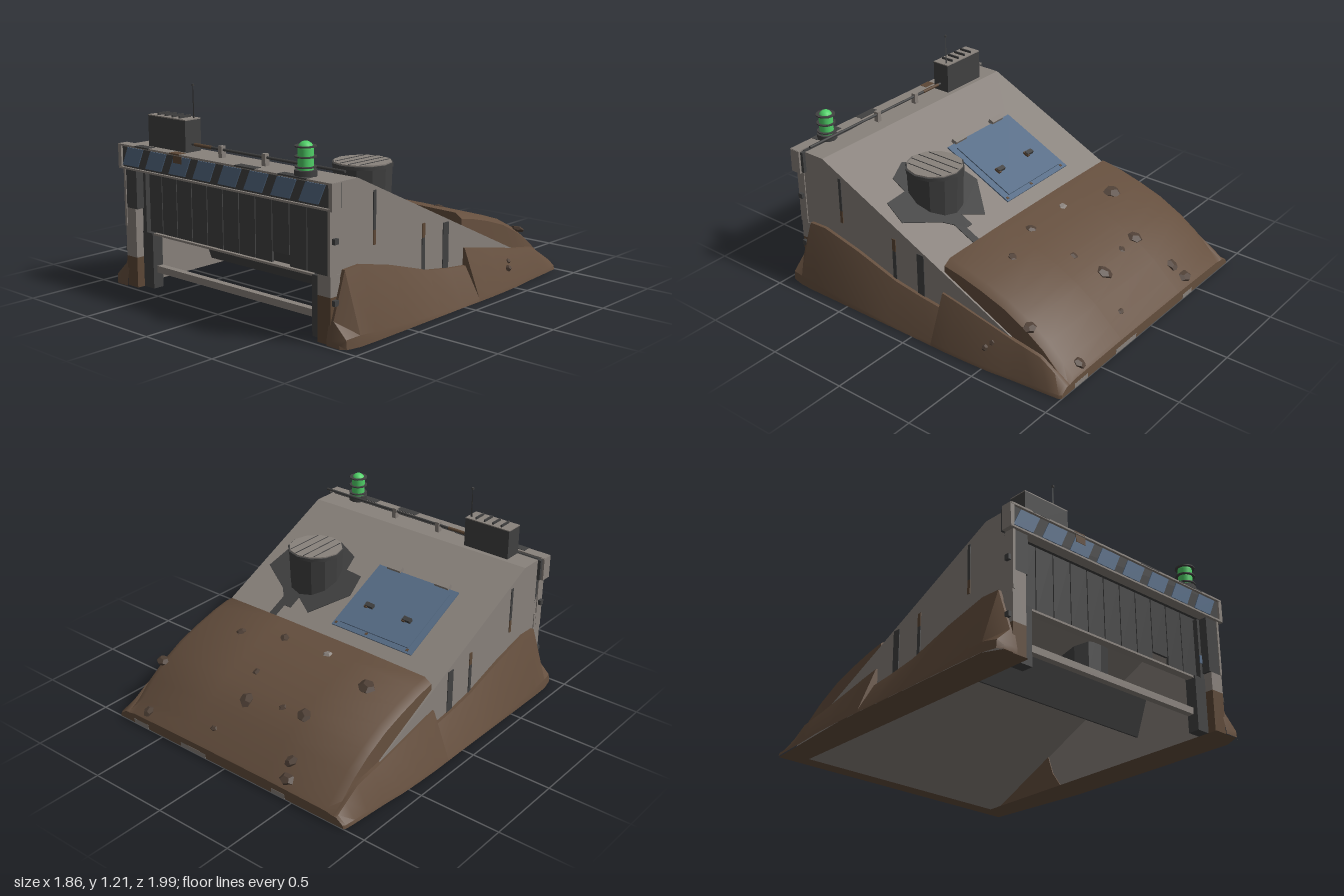
import * as THREE from 'three';
import { toCreasedNormals } from 'three/addons/utils/BufferGeometryUtils.js';

export function createModel() {
  const root = new THREE.Group();
  root.name = 'bunker';
  const material = (name, color) => {
    const m = new THREE.MeshStandardMaterial({ color });
    m.name = name;
    return m;
  };
  const concrete = material('concrete', 0x89827c);
  const dark = material('darkSteel', 0x414141);
  const blue = material('bluePaint', 0x566c86);
  const earth = material('earth', 0x654f3e);
  const rock = material('rock', 0x4f4036);
  const green = material('greenLamp', 0x50d068);
  const rust = material('rust', 0x5d4836);

  const add = (name, geo, mat, x = 0, y = 0, z = 0, parent = root) => {
    const m = new THREE.Mesh(geo, mat);
    m.name = name;
    m.position.set(x, y, z);
    parent.add(m);
    return m;
  };
  // Box given by its limits
  const block = (name, mat, x0, x1, y0, y1, z0, z1, parent = root) =>
    add(name, new THREE.BoxGeometry(x1 - x0, y1 - y0, z1 - z0), mat,
      (x0 + x1) / 2, (y0 + y1) / 2, (z0 + z1) / 2, parent);
  const cyl = (name, mat, r, h, x, y, z, sides = 16) =>
    add(name, new THREE.CylinderGeometry(r, r, h, sides), mat, x, y, z);
  const outline = pts => new THREE.Shape(pts.map(p => new THREE.Vector2(p[0], p[1])));
  // Side profile of [z, y] points pushed along x
  const profile = (name, mat, pts, x0, x1) => {
    const geo = new THREE.ExtrudeGeometry(outline(pts.map(([z, y]) => [-z, y])),
      { depth: x1 - x0, bevelEnabled: false });
    geo.rotateY(Math.PI / 2);
    return add(name, geo, mat, x0);
  };
  // Skin over cross-sections of [x, y, z] points, running from +x to -x and front to back
  const loft = (name, mat, rows) => {
    const n = rows[0].length, index = [];
    for (let i = 0; i < rows.length - 1; i++)
      for (let j = 0; j < n - 1; j++) {
        const a = i * n + j, c = a + n;
        index.push(a, c, a + 1, a + 1, c, c + 1);
      }
    const geo = new THREE.BufferGeometry();
    geo.setAttribute('position', new THREE.Float32BufferAttribute(rows.flat(2), 3));
    geo.setIndex(index);
    return add(name, toCreasedNormals(geo, 0.6), mat);
  };

  // Hollow wedge: sloping roof and side walls
  const K = 0.4645;
  profile('roofSlab', concrete, [[0.92, 0.835], [0.76, 0.835], [-0.96, 0.036], [-0.96, 0],
    [-0.93, 0], [0.76, 0.79], [0.92, 0.79]], -0.8, 0.8);
  const wall = [[0.92, 0.834], [0.76, 0.834], [-0.96, 0.035], [-0.96, 0], [0.92, 0]];
  profile('leftWall', concrete, wall, 0.77, 0.8);
  profile('rightWall', concrete, wall, -0.8, -0.77);
  block('roofSeam', dark, -0.79, 0.79, 0.834, 0.838, 0.908, 0.926);

  // Worn strips outside and earth stains inside the walls
  for (const s of [1, -1]) {
    const strip = (mat, z0, z1, y0, y1) =>
      block('wallStrip', mat, s * 0.801 - 0.003, s * 0.801 + 0.003, y0, y1, z0, z1);
    strip(dark, 0.62, 0.64, 0.54, 0.75);
    strip(rust, 0.62, 0.64, 0.46, 0.54);
    strip(dark, 0.21, 0.235, 0.2, 0.42);
    strip(rust, 0.21, 0.235, 0.42, 0.5);
    strip(dark, 0, 0.05, 0.2, 0.47);
    const x = s > 0 ? 0.764 : -0.77;
    profile('innerEarth', earth, [[-0.42, 0.245], [-0.93, 0.003], [-0.3, 0.003], [-0.38, 0.12]], x, x + 0.006);
  }

  // Rear earth mound: [z, base half-width, side height, top height]
  const mound = [[-0.14, 0.925, 0.19, 0.4], [-0.14, 0.925, 0.29, 0.485], [-0.25, 0.925, 0.27, 0.465],
    [-0.4, 0.92, 0.238, 0.425], [-0.55, 0.912, 0.208, 0.375], [-0.65, 0.9, 0.187, 0.325], [-0.7, 0.895, 0.18, 0.3],
    [-0.82, 0.885, 0.16, 0.22], [-0.92, 0.877, 0.1, 0.13], [-0.985, 0.87, 0.06, 0.075],
    [-1, 0.86, 0.05, 0.06], [-1, 0.86, 0, 0]];
  loft('rearMound', earth, mound.map(([z, w, s, t]) => {
    const half = [[w, 0], [w - 0.005, Math.min(0.02, s)], [0.812, s], [0.792, s + 0.002],
      [0.786, Math.max(s, t - 0.03)], [0.74, t], [0.3, t + 0.006]];
    const mirror = half.map(([x, y]) => [-x, y]).reverse();
    return [...half, ...mirror].map(([x, y]) => [x, t ? y : 0, z]);
  }));
  for (const [x, w] of [[0.62, 0.12], [0.15, 0.2], [-0.45, 0.1]])
    block('rearWear', concrete, x, x + w, 0, 0.028, -1.001, -0.996);

  // Side banks: [z, base half-width, height, lip height]
  const bank = [[0.985, 0.88, 0, 0], [0.985, 0.88, 0.03, 0.02], [0.965, 0.91, 0.13, 0.05],
    [0.88, 0.93, 0.38, 0.06], [0.76, 0.932, 0.385, 0.05], [0.5, 0.93, 0.325, 0.03],
    [0.2, 0.927, 0.235, 0.015], [0, 0.925, 0.205, 0.012], [-0.14, 0.925, 0.19, 0.02]];
  for (const s of [1, -1]) {
    const m = loft(s > 0 ? 'leftBank' : 'rightBank', earth, bank.map(([z, w, h, l]) =>
      [[w, 0, z], [w - 0.005, l, z], [0.82, h, z], [0.79, h, z]]));
    m.scale.x = s;
  }
  // Underside rim of the earth
  const rim = new THREE.ShapeGeometry(outline([[0.88, 0.98], [0.93, 0.88], [0.925, -0.3], [0.86, -1],
    [-0.86, -1], [-0.925, -0.3], [-0.93, 0.88], [-0.88, 0.98], [-0.71, 0.98], [-0.71, -0.91],
    [0.71, -0.91], [0.71, 0.98]]));
  rim.rotateX(Math.PI / 2);
  add('earthRim', rim, earth, 0, -0.001, 0);

  // Stones scattered on the mound: [x, z, size]
  const heightAt = z => {
    for (let i = 1; i < mound.length - 1; i++) {
      const a = mound[i], b = mound[i + 1];
      if (z <= a[0] && z >= b[0]) return a[3] + (b[3] - a[3]) * (a[0] - z) / (a[0] - b[0]);
    }
    return 0;
  };
  [[-0.43, -0.955, 0.052], [-0.4, -0.88, 0.047], [-0.31, -0.67, 0.055], [-0.16, -0.68, 0.03],
    [0.08, -0.72, 0.056], [0.17, -0.9, 0.028], [0.15, -0.56, 0.03], [-0.51, -0.37, 0.063],
    [0.46, -0.36, 0.035], [0.18, -0.28, 0.04], [-0.14, -0.27, 0.035], [0.65, -0.96, 0.042],
    [0.77, -0.72, 0.045]].forEach(([x, z, r], i) => {
    const m = add('stone', new THREE.DodecahedronGeometry(r), i === 10 ? concrete : rock, x, heightAt(z), z);
    m.scale.set(1, 0.4, 0.8);
    m.rotation.set(-0.45, i * 1.3, 0);
  });
  for (const [z, y] of [[-0.49, 0.11], [-0.52, 0.14]])
    add('bankStone', new THREE.DodecahedronGeometry(0.02), rock, 0.87 - (y - 0.11), y, z);

  // Front posts, door guides and side bolts
  for (const s of [1, -1]) {
    const post = new THREE.Group();
    post.name = s > 0 ? 'leftPost' : 'rightPost';
    post.scale.x = s;
    root.add(post);
    const foot = s > 0 ? 0.25 : 0.18;
    block('postFoot', rust, 0.715, 0.805, 0, foot, 0.9, 0.97, post);
    block('postMiddle', concrete, 0.715, 0.805, foot, s > 0 ? 0.36 : 0.47, 0.9, 0.97, post);
    block('postTop', dark, 0.7, 0.8, s > 0 ? 0.36 : 0.47, 0.71, 0.9, 0.97, post);
    block('postEdge', concrete, 0.79, 0.806, 0.36, 0.71, 0.92, 0.975, post);
    block('doorGuide', dark, 0.63, 0.72, 0, 0.33, 0.85, 0.92, post);
    block('guideRail', dark, 0.68, 0.71, 0.33, 0.7, 0.87, 0.92, post);
    for (const y of [0.22, 0.54]) block('bolt', dark, 0.8, 0.825, y - 0.015, y + 0.015, 0.93, 0.96, post);
  }
  block('postChip', blue, 0.68, 0.705, 0.42, 0.47, 0.918, 0.924);

  // Slatted shutter with one broken slat, cross bars and the tilted plate inside
  for (let i = 0; i < 11; i++) {
    const x = -0.698 + i * 0.1265;
    block('shutterSlat', dark, x + 0.003, x + 0.1235, i === 8 ? 0.39 : 0.33, 0.72, 0.875, 0.89);
  }
  block('upperBar', concrete, -0.65, 0.65, 0.318, 0.33, 0.86, 0.91);
  block('lowerBar', concrete, -0.62, 0.62, 0.095, 0.135, 0.86, 0.9);
  profile('innerPlate', dark, [[0.55, 0.33], [0.54, 0.33], [0.45, 0.09], [0.46, 0.09]], -0.64, 0.64);

  // Lintel with light border and slanted warning stripes
  block('lintel', dark, -0.82, 0.82, 0.705, 0.835, 0.9, 0.975);
  for (const y of [0.7, 0.833]) block('lintelBorder', concrete, -0.83, 0.83, y, y + 0.011, 0.925, 0.99);
  for (const s of [1, -1]) block('lintelEnd', concrete, s * 0.82 - 0.013, s * 0.82 + 0.013, 0.7, 0.842, 0.92, 0.988);
  for (let i = 0; i < 8; i++) {
    const x = -0.805 + i * 0.2, e = Math.min(x + 0.185, 0.785);
    const geo = new THREE.ExtrudeGeometry(outline([[x, 0.722], [e - 0.05, 0.722], [e, 0.828], [x + 0.05, 0.828]]),
      { depth: 0.006, bevelEnabled: false });
    add('blueStripe', geo, blue, 0, 0, 0.975);
  }
  for (const [x0, x1, mat] of [[-0.68, -0.56, dark], [-0.38, -0.3, rust], [0.14, 0.29, dark], [0.46, 0.66, dark]])
    block('lintelWear', mat, x0, x1, 0.838, 0.846, 0.94, 0.991);
  block('lintelRust', rust, -0.36, -0.29, 0.79, 0.833, 0.977, 0.983);

  // Ventilation box with fins, and a flat tapering aerial
  block('ventBox', dark, -0.655, -0.342, 0.83, 1.015, 0.79, 0.905);
  block('ventTop', concrete, -0.655, -0.342, 1.015, 1.021, 0.79, 0.905);
  for (let i = 0; i < 4; i++) block('ventFin', dark, -0.592 + i * 0.06, -0.584 + i * 0.06, 1.02, 1.035, 0.805, 0.89);
  add('aerial', new THREE.CylinderGeometry(0.002, 0.007, 0.2, 6), dark, -0.365, 1.11, 0.82).scale.z = 0.2;
  cyl('aerialTip', dark, 0.008, 0.012, -0.365, 1.205, 0.82, 6);

  // Cable pipe along the roof edge
  cyl('roofPipe', dark, 0.008, 1.14, 0.23, 0.88, 0.855, 8).rotation.z = Math.PI / 2;
  cyl('pipeRust', rust, 0.01, 0.14, -0.25, 0.88, 0.855, 8).rotation.z = Math.PI / 2;
  for (const x of [-0.1, 0.235]) block('pipeClamp', concrete, x - 0.014, x + 0.014, 0.835, 0.9, 0.84, 0.87);

  // Signal lamp
  const lx = 0.595, lz = 0.925;
  cyl('lampBase', dark, 0.06, 0.035, lx, 0.857, lz, 10);
  cyl('lampGlass', green, 0.042, 0.11, lx, 0.925, lz);
  add('lampDome', new THREE.SphereGeometry(0.042, 16, 8, 0, Math.PI * 2, 0, Math.PI / 2), green, lx, 0.98, lz);
  for (const y of [0.89, 0.942, 0.995]) cyl('lampRing', dark, 0.058, 0.007, lx, y, lz, 12);

  // Fittings lying on the slope; local -z runs down the slope
  const slope = new THREE.Group();
  slope.name = 'slopeFittings';
  slope.position.set(0, 0.835, 0.76);
  slope.rotation.x = -Math.atan(K);
  root.add(slope);
  const L = z => (z - 0.76) * Math.hypot(1, K);
  const plate = (name, mat, x0, x1, z0, z1, y0, y1) => block(name, mat, x0, x1, y0, y1, L(z0), L(z1), slope);

  plate('hatchFrame', blue, -0.54, 0.05, 0, 0.465, 0, 0.008);
  plate('hatchPanel', blue, -0.5, 0.005, 0.03, 0.43, 0.008, 0.015);
  for (const x of [-0.38, -0.1]) {
    plate('hatchHandle', dark, x - 0.028, x + 0.028, 0.17, 0.195, 0.015, 0.035);
    plate('handleWear', rust, x + 0.01, x + 0.032, 0.165, 0.2, 0.015, 0.028);
  }
  for (const x of [-0.42, -0.065]) plate('hatchHinge', concrete, x - 0.05, x + 0.05, 0.455, 0.488, 0, 0.025);
  for (const x of [-0.5, -0.2, 0.03]) plate('hatchChip', rust, x - 0.008, x + 0.008, 0.012, 0.026, 0.008, 0.011);

  // Irregular dark footing around the turret
  const pad = new THREE.ExtrudeGeometry(outline([[0.08, 0.21], [0.25, 0.01], [0.38, 0.08], [0.38, 0],
    [0.43, 0], [0.43, -0.1], [0.48, -0.1], [0.48, 0.05], [0.53, 0.1], [0.74, 0.21], [0.71, 0.35],
    [0.55, 0.36], [0.54, 0.46], [0.4, 0.52], [0.25, 0.46], [0.23, 0.36], [0.11, 0.35]]
    .map(([x, z]) => [x, L(z)])), { depth: 0.008, bevelEnabled: false });
  pad.rotateX(Math.PI / 2);
  add('turretFooting', pad, dark, 0, 0.004, 0, slope);

  // Ventilation turret with slatted lid
  const tx = 0.395, tz = 0.26;
  const drum = new THREE.CylinderGeometry(0.17, 0.158, 0.34, 12).toNonIndexed();
  drum.computeVertexNormals();
  add('turretDrum', drum, dark, tx, 0.62, tz);
  cyl('turretRim', dark, 0.174, 0.02, tx, 0.782, tz, 12);
  cyl('turretLid', concrete, 0.165, 0.01, tx, 0.794, tz, 12);
  for (const d of [-0.09, -0.03, 0.03, 0.09]) {
    const h = Math.sqrt(0.155 ** 2 - d * d);
    block('lidSlot', dark, tx + d - 0.002, tx + d + 0.002, 0.797, 0.802, tz - h, tz + h);
  }
  return root;
}
